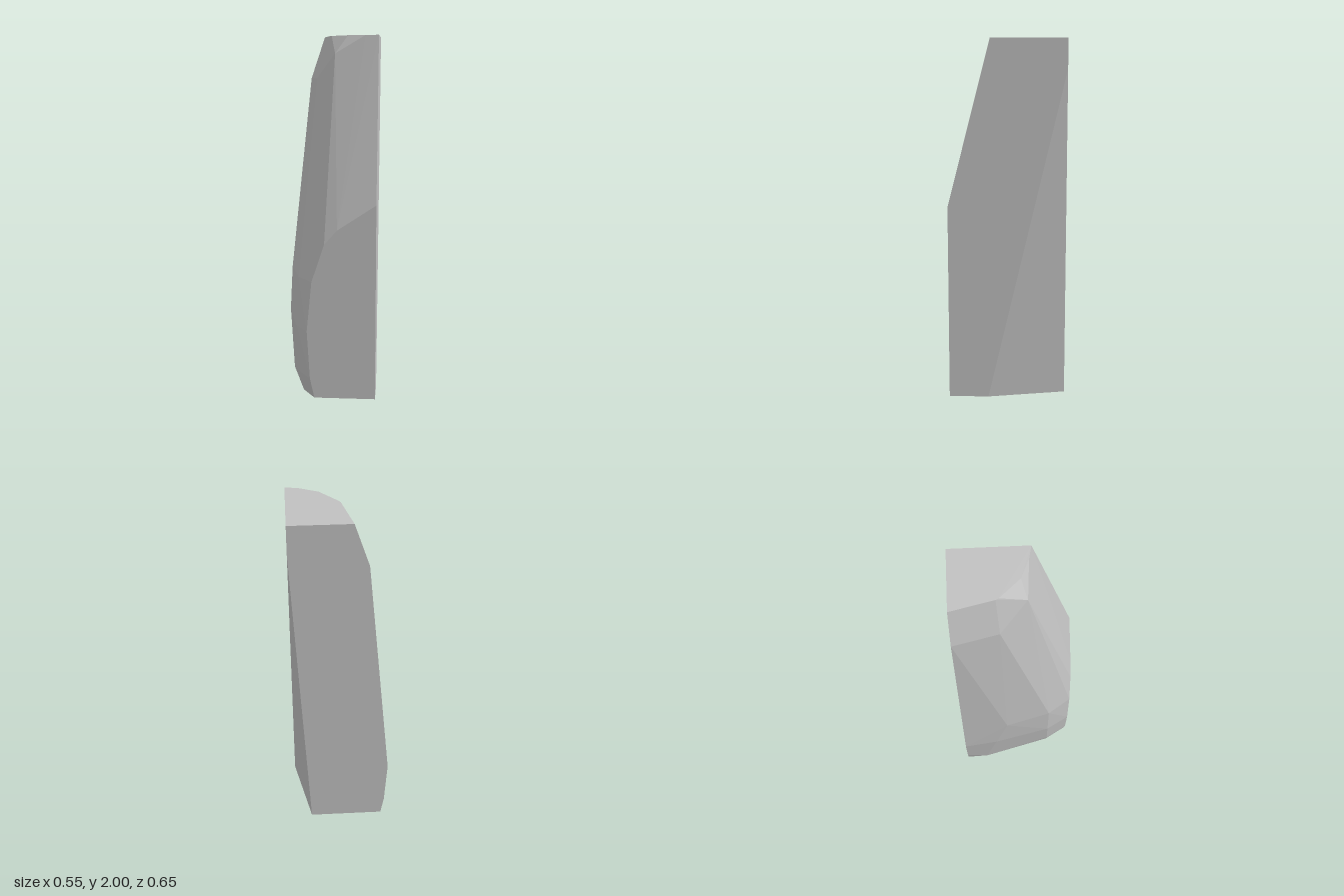
import * as THREE from 'three';
import { ConvexGeometry } from 'three/addons/geometries/ConvexGeometry.js';

const stone = new THREE.MeshStandardMaterial({ color: 0xc0c0c0 });
stone.name = 'greyStone';

// Faceted standing stone: flat top, front, back and side, worn on the left edge
export function createModel() {
  const F = 0.325, B = -0.325, R = 0.273;
  const points = [];
  const add = (list, place) => list.forEach(([a, b]) => points.push(new THREE.Vector3(...place(a, b))));

  // Flat top outline (x, z)
  add([[R, 0.09], [0.2, 0.075], [0.1, 0.031], [0, -0.08], [-0.008, -0.095], [-0.06, B], [R, B]],
    (x, z) => [x, 2, z]);
  // Front face outline (x, y)
  add([[R, 1.09], [0.06, 0.95], [-0.01, 0.87], [-0.08, 0.66], [-0.107, 0.38], [-0.09, 0.11], [-0.065, 0], [R, 0]],
    (x, y) => [x, y, F]);
  // Back face outline (x, y), drawn in at the foot
  add([[R, 1.84], [0.18, 0], [-0.24, 0], [-0.258, 0.11], [-0.273, 0.38], [-0.14, 1.76]],
    (x, y) => [x, y, B]);
  // Foot outline (x, z)
  add([[R, 0.105], [-0.237, -0.2], [-0.137, 0.2]], (x, z) => [x, 0, z]);
  // Worn facets between the faces, ring by ring
  add([[0.03, 0.063]], (x, z) => [x, 1.9, z]);
  add([[-0.085, -0.08]], (x, z) => [x, 1.76, z]);
  add([[-0.23, -0.06], [-0.165, 0.195]], (x, z) => [x, 0.66, z]);
  add([[-0.25, -0.13], [-0.18, 0.195]], (x, z) => [x, 0.38, z]);
  add([[-0.16, 0.2]], (x, z) => [x, 0.11, z]);

  const mesh = new THREE.Mesh(new ConvexGeometry(points), stone);
  mesh.name = 'standingStone';
  const group = new THREE.Group();
  group.name = 'stonePillar';
  group.add(mesh);
  return group;
}
